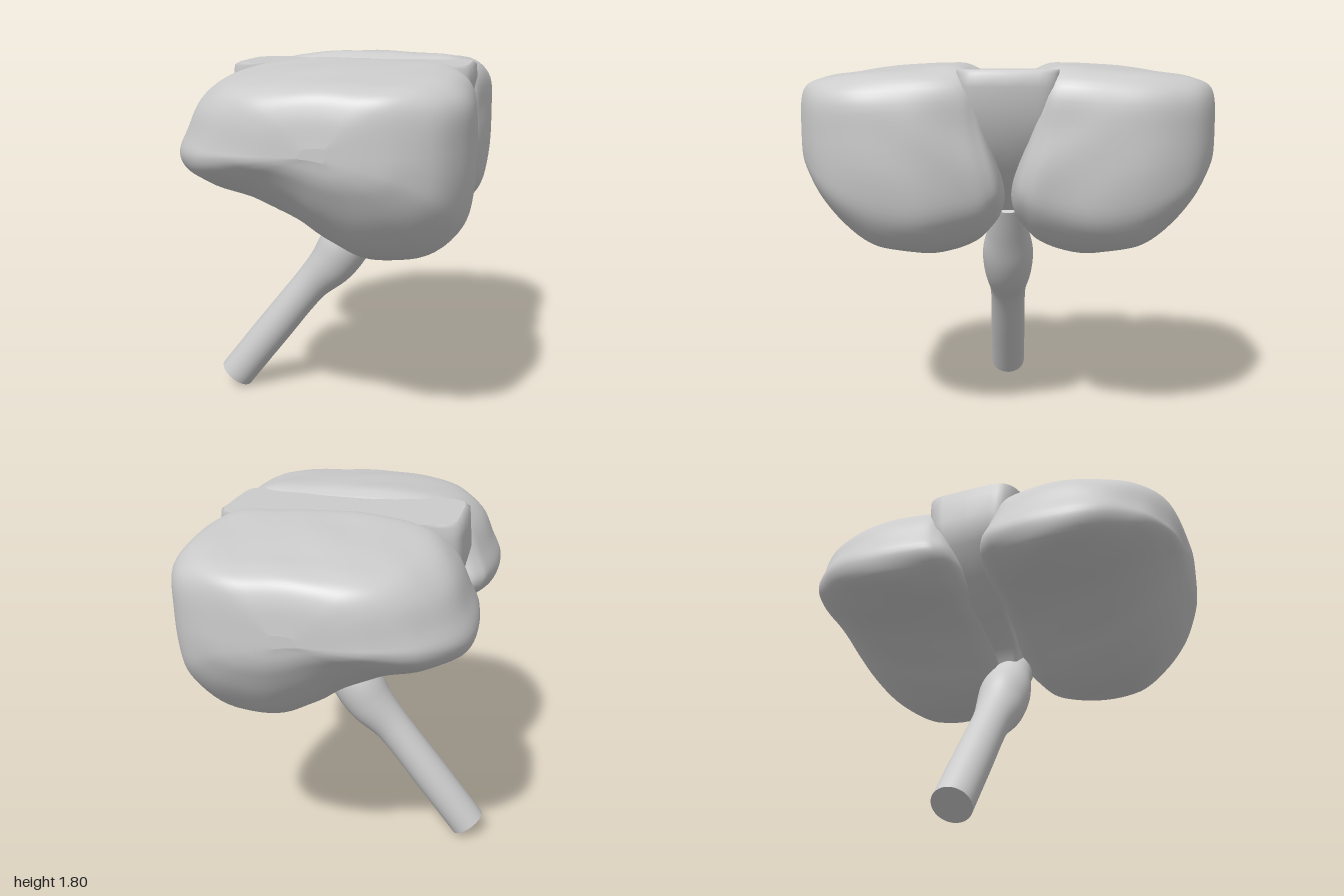
import * as THREE from 'three';

const material = new THREE.MeshStandardMaterial({ color: 0xcccccc, roughness: 0.8 });
const V = (x, y, z = 0) => new THREE.Vector3(x, y, z);

// Skin a list of closed rings; rings run counter-clockwise around the direction of travel.
function loft(name, rings) {
  const n = rings[0].length, pos = [], index = [];
  const push = p => pos.push(p.x, p.y, p.z);
  rings.forEach(r => r.forEach(push));
  for (let i = 0; i < rings.length - 1; i++) {
    for (let j = 0; j < n; j++) {
      const k = (j + 1) % n;
      const a = i * n + j, b = i * n + k, c = a + n, d = b + n;
      index.push(a, b, d, a, d, c);
    }
  }
  // flat end caps with their own vertices
  [rings[0], rings[rings.length - 1]].forEach((ring, end) => {
    const base = pos.length / 3;
    ring.forEach(push);
    push(ring.reduce((s, p) => s.add(p), V(0, 0)).divideScalar(n));
    for (let j = 0; j < n; j++) {
      const a = base + j, b = base + (j + 1) % n;
      if (end) index.push(base + n, a, b);
      else index.push(base + n, b, a);
    }
  });
  const geometry = new THREE.BufferGeometry();
  geometry.setAttribute('position', new THREE.Float32BufferAttribute(pos, 3));
  geometry.setIndex(index);
  geometry.computeVertexNormals();
  const mesh = new THREE.Mesh(geometry, material);
  mesh.name = name;
  return mesh;
}

// Side outline of a lobe (x, y)
const outline = new THREE.CatmullRomCurve3([
  [-0.665, 1.4], [-0.63, 1.31], [-0.5, 1.24], [-0.3, 1.18], [-0.1, 1.08], [0.05, 0.98],
  [0.18, 0.915], [0.32, 0.9], [0.5, 0.95], [0.63, 1.08], [0.675, 1.25], [0.685, 1.5],
  [0.665, 1.69], [0.58, 1.77], [0.3, 1.8], [0, 1.81], [-0.3, 1.785], [-0.46, 1.74],
  [-0.56, 1.65], [-0.62, 1.52],
].map(p => V(...p)), true);

// Extent of the lobe along z: z, xMin, xMax, yMin, yMax
const stations = [
  [0.1, -0.3, 0.35, 1.3, 1.65], [0.12, -0.52, 0.56, 1.12, 1.75], [0.17, -0.6, 0.62, 1.02, 1.79],
  [0.25, -0.635, 0.65, 0.95, 1.81], [0.42, -0.665, 0.685, 0.9, 1.8], [0.6, -0.65, 0.68, 0.93, 1.785],
  [0.75, -0.59, 0.64, 1.02, 1.765], [0.87, -0.48, 0.56, 1.15, 1.745], [0.95, -0.33, 0.42, 1.28, 1.71],
  [0.985, -0.2, 0.28, 1.36, 1.63], [1, 0, 0.12, 1.44, 1.5],
];
const widthCurve = new THREE.CatmullRomCurve3(stations.map(s => V(s[0], s[1], s[2])), false, 'catmullrom');
const heightCurve = new THREE.CatmullRomCurve3(stations.map(s => V(s[0], s[3], s[4])), false, 'catmullrom');

function lobe(name, side) {
  const cx = 0.1, cy = 1.46, steps = 60, rings = [];
  const section = outline.getPoints(96).slice(0, -1);
  for (let i = 0; i <= steps; i++) {
    const w = widthCurve.getPoint(i / steps), h = heightCurve.getPoint(i / steps), z = w.x;
    rings.push(section.map(p => {
      const dx = p.x - cx, dy = p.y - cy;
      let x = cx + dx * (dx < 0 ? (w.y - cx) / (-0.665 - cx) : (w.z - cx) / (0.685 - cx));
      let y = cy + dy * (dy < 0 ? (h.y - cy) / (0.9 - cy) : (h.z - cy) / (1.81 - cy));
      // soft folds in the surface
      const fold = 1 + 0.006 * Math.sin(9 * x + 14 * z + 2 * Math.sin(7 * y))
        + 0.004 * Math.sin(23 * x - 17 * y + 11 * z);
      x = cx + (x - cx) * fold;
      y = cy + (y - cy) * fold;
      // lower part of the inner face leans towards the middle
      const lean = 0.1 * (1 - THREE.MathUtils.smoothstep(y, 1.15, 1.62)) * Math.max(0, 1 - (z - 0.1) / 0.5);
      return V(x, y, side * (z - lean));
    }));
  }
  if (side < 0) rings.reverse();
  return loft(name, rings);
}

// Band joining the lobes, tapering down to the stalk: y, xMin, xMax, half depth
function bridge() {
  const levels = [
    [1.02, 0.02, 0.2, 0.05], [1.1, -0.02, 0.25, 0.07], [1.2, -0.2, 0.36, 0.09], [1.32, -0.4, 0.47, 0.14],
    [1.45, -0.52, 0.56, 0.2], [1.58, -0.55, 0.61, 0.24], [1.7, -0.54, 0.635, 0.25], [1.76, -0.535, 0.63, 0.25],
    [1.775, -0.51, 0.61, 0.25],
  ];
  const soft = v => Math.sign(v) * Math.abs(v) ** 0.3;
  return loft('bridge', levels.map(([y, x0, x1, d]) => Array.from({ length: 48 }, (_, j) => {
    const a = j / 48 * Math.PI * 2;
    return V((x0 + x1) / 2 + (x1 - x0) / 2 * soft(Math.cos(a)), y, -d * soft(Math.sin(a)));
  })));
}

// Slanted round stalk with a swelling below the lobes
function stalk() {
  const path = new THREE.CatmullRomCurve3([
    V(-0.62, 0.065), V(-0.41, 0.335), V(-0.2, 0.6), V(-0.075, 0.735), V(0.0, 0.85), V(0.09, 0.97), V(0.2, 1.13),
  ]);
  const radii = new THREE.CatmullRomCurve3([0.094, 0.094, 0.094, 0.122, 0.13, 0.105, 0.08].map((r, i) => V(i, r)));
  const rings = [];
  for (let i = 0; i <= 40; i++) {
    const c = path.getPoint(i / 40), t = path.getTangent(i / 40), r = radii.getPoint(i / 40).y;
    const across = V(t.y, -t.x);
    rings.push(Array.from({ length: 40 }, (_, j) => {
      const a = j / 40 * Math.PI * 2;
      return c.clone().addScaledVector(across, r * Math.cos(a)).add(V(0, 0, -r * Math.sin(a)));
    }));
  }
  return loft('stalk', rings);
}

export function createModel() {
  const group = new THREE.Group();
  group.name = 'twoLobedBody';
  group.add(lobe('frontLobe', 1), lobe('backLobe', -1), bridge(), stalk());
  return group;
}
